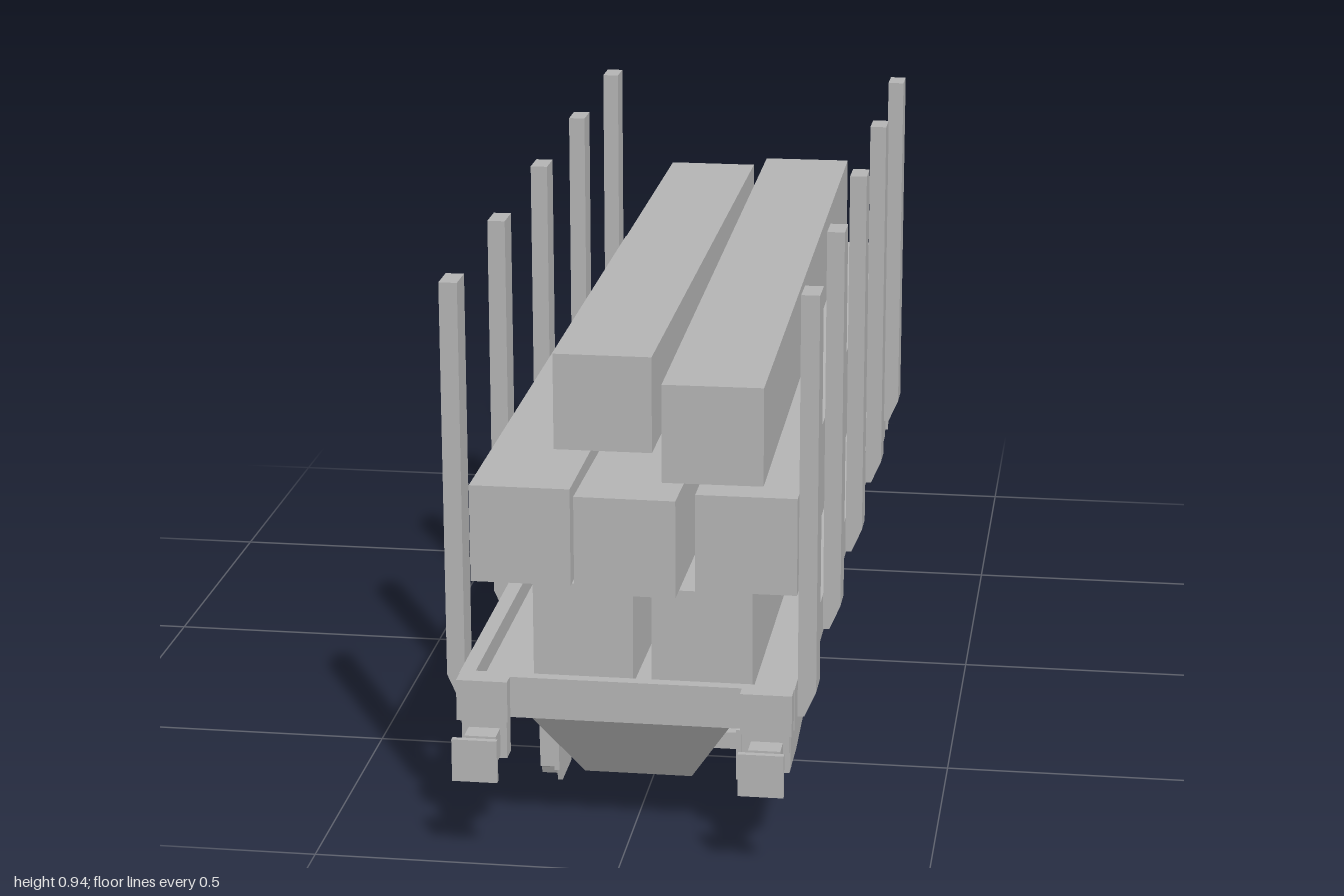
import * as THREE from 'three';

export function createModel() {
  const wagon = new THREE.Group();
  wagon.name = 'timberWagon';
  const grey = new THREE.MeshStandardMaterial({ color: 0xb3b3b3 });
  grey.name = 'plainGrey';

  const add = (name, geometry, parent = wagon) => {
    const flat = geometry.index ? geometry.toNonIndexed() : geometry;
    flat.computeVertexNormals();
    const mesh = new THREE.Mesh(flat, grey);
    mesh.name = name;
    parent.add(mesh);
    return mesh;
  };
  // Box given by its lower and upper limits
  const box = (name, x0, x1, y0, y1, z0, z1, parent) => {
    const mesh = add(name, new THREE.BoxGeometry(x1 - x0, y1 - y0, z1 - z0), parent);
    mesh.position.set((x0 + x1) / 2, (y0 + y1) / 2, (z0 + z1) / 2);
    return mesh;
  };
  const polygon = (points) => new THREE.Shape(points.map(([x, y]) => new THREE.Vector2(x, y)));
  const extrude = (shape, depth) =>
    new THREE.ExtrudeGeometry(shape, { depth, bevelEnabled: false });

  // Deck with a raised rim
  box('deckFloor', -0.27, 0.27, 0.22, 0.255, -0.89, 0.89);
  for (const s of [-1, 1]) {
    box('endBeam', -0.2, 0.2, 0.22, 0.29, s * 0.895 - 0.01, s * 0.895 + 0.01);
    box('sideRim', s * 0.2625 - 0.0125, s * 0.2625 + 0.0125, 0.22, 0.29, -0.9, 0.9);

    // Side sill, deeper at both ends
    const sill = add('sideSill', extrude(polygon([
      [-0.91, 0.222], [-0.91, 0.155], [-0.82, 0.155], [-0.53, 0.2],
      [0.53, 0.2], [0.82, 0.155], [0.91, 0.155], [0.91, 0.222],
    ]), 0.03));
    sill.rotation.y = -Math.PI / 2;
    sill.position.x = s * 0.255 + 0.015;
  }

  // Tapered underbody: box with its lower corners drawn inwards
  const hull = new THREE.BoxGeometry(0.35, 0.145, 1.74);
  const p = hull.attributes.position;
  for (let i = 0; i < p.count; i++) {
    if (p.getY(i) < 0) {
      p.setX(i, Math.sign(p.getX(i)) * 0.09);
      p.setZ(i, Math.sign(p.getZ(i)) * 0.77);
    }
  }
  add('underbody', hull).position.y = 0.1475;

  // Corner blocks and buffers
  for (const sx of [-1, 1]) {
    for (const sz of [-1, 1]) {
      const corner = new THREE.Group();
      corner.name = 'bufferCorner';
      corner.position.x = sx * 0.232;
      if (sz < 0) corner.rotation.y = Math.PI;
      box('cornerBlock', -0.042, 0.042, 0.22, 0.29, 0.885, 0.93, corner);
      box('sillEnd', -0.037, 0.037, 0.15, 0.222, 0.88, 0.912, corner);
      box('bufferSocket', -0.026, 0.026, 0.155, 0.202, 0.91, 0.95, corner);
      box('bufferShaft', -0.014, 0.014, 0.166, 0.19, 0.95, 0.992, corner);
      box('bufferPlate', -0.037, 0.037, 0.143, 0.215, 0.99, 1, corner);
      wagon.add(corner);
    }
  }

  // Stakes, chamfered on the outside at the foot
  const stakeShape = polygon([
    [0.275, 0.225], [0.286, 0.225], [0.305, 0.268], [0.305, 0.935], [0.275, 0.935],
  ]);
  for (const z of [0.823, 0.415, 0.004, -0.407, -0.818]) {
    for (const s of [-1, 1]) {
      const stake = add('stake', extrude(stakeShape, 0.058));
      if (s < 0) stake.rotation.y = Math.PI;
      stake.position.z = z - s * 0.029;
    }
  }

  // Blocky wheels with a square recess, on square axles
  const notched = (r, n) => polygon([
    [-n, -r], [n, -r], [n, -n], [r, -n], [r, n], [n, n],
    [n, r], [-n, r], [-n, n], [-r, n], [-r, -n], [-n, -n],
  ].map(([x, y]) => [
    // corner steps sit midway between the arm and the rim
    Math.abs(x) === n && Math.abs(y) === n ? x * 1.15 : x,
    Math.abs(x) === n && Math.abs(y) === n ? y * 1.15 : y,
  ]));
  const tread = notched(0.064, 0.044);
  const hole = new THREE.Path();
  hole.moveTo(-0.027, -0.027).lineTo(-0.027, 0.027).lineTo(0.027, 0.027).lineTo(0.027, -0.027);
  hole.closePath();
  tread.holes.push(hole);
  const flange = notched(0.076, 0.045);
  for (const z of [0.595, 0.367, -0.363, -0.593]) {
    const wheelset = new THREE.Group();
    wheelset.name = 'wheelset';
    wheelset.position.set(0, 0.076, z);
    box('axle', -0.197, 0.197, -0.015, 0.015, -0.015, 0.015, wheelset);
    for (const s of [-1, 1]) {
      const rim = add('wheelFlange', extrude(flange, 0.008), wheelset);
      const wheel = add('wheelTread', extrude(tread, 0.027), wheelset);
      rim.rotation.y = wheel.rotation.y = s * Math.PI / 2;
      rim.position.x = s * 0.152;
      wheel.position.x = s * 0.16;
    }
    wagon.add(wheelset);
  }

  // Timber baulks: centre x at front and back, bottom y, top y, front z, back z
  const baulks = [
    [-0.083, -0.062, 0.255, 0.425, 0.82, -0.855],
    [0.115, 0.115, 0.255, 0.425, 0.83, -0.83],
    [-0.184, -0.184, 0.425, 0.59, 0.83, -0.83],
    [-0.006, 0.012, 0.425, 0.59, 0.867, -0.86],
    [0.187, 0.181, 0.425, 0.59, 0.83, -0.84],
    [-0.078, -0.078, 0.595, 0.761, 0.637, -0.778],
    [0.127, 0.107, 0.595, 0.761, 0.79, -0.84],
  ];
  for (const [xf, xb, y0, y1, zf, zb] of baulks) {
    const length = Math.hypot(xf - xb, zf - zb);
    const baulk = add('timberBaulk', new THREE.BoxGeometry(0.166, y1 - y0, length));
    baulk.position.set((xf + xb) / 2, (y0 + y1) / 2, (zf + zb) / 2);
    baulk.rotation.y = Math.atan2(xf - xb, zf - zb);
  }
  return wagon;
}
